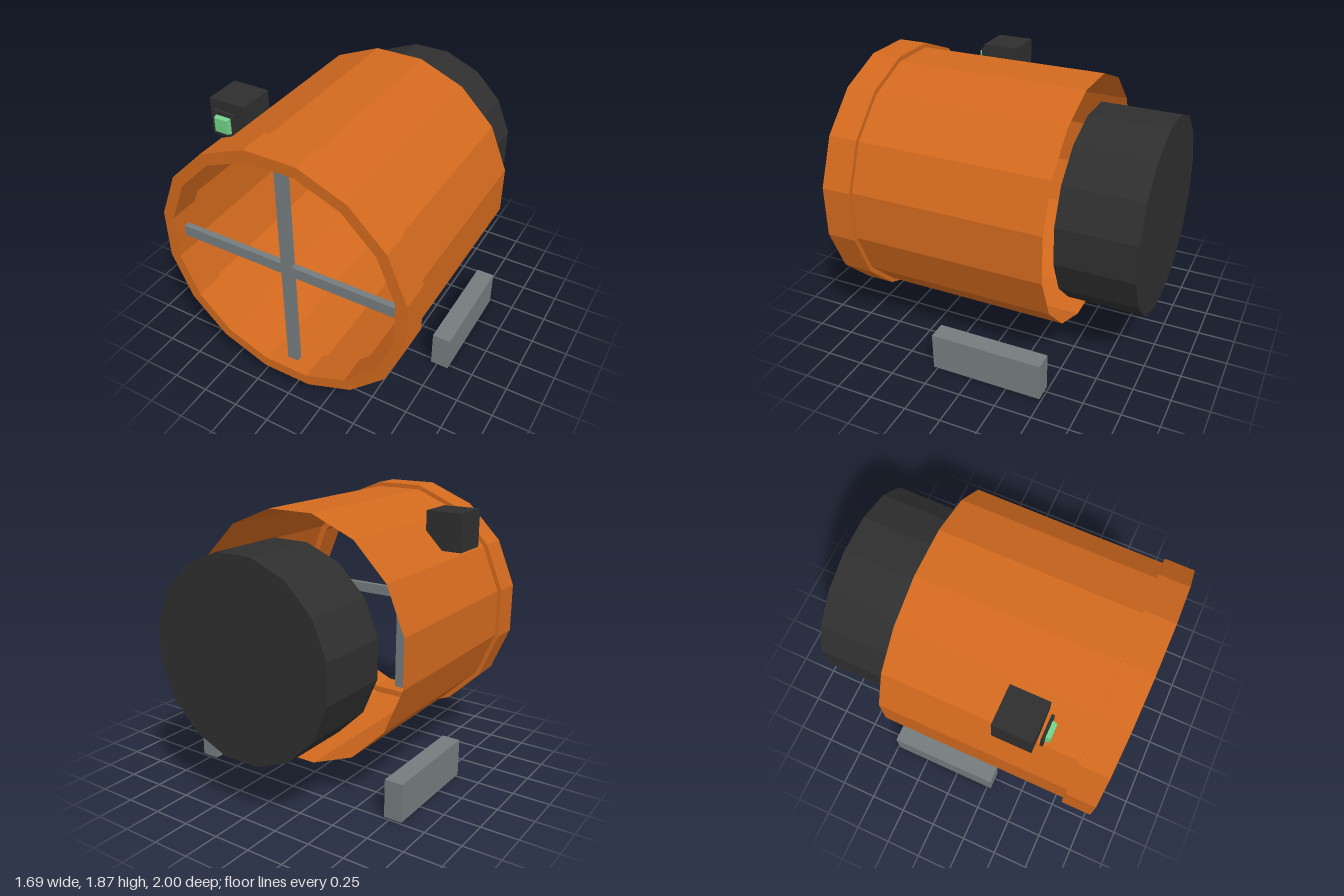
import * as THREE from 'three';

const mat = (name, color, opts = {}) => {
  const m = new THREE.MeshStandardMaterial({ color, flatShading: true, ...opts });
  m.name = name;
  return m;
};

export function createModel() {
  const model = new THREE.Group();
  model.name = 'model';
  const orange = mat('orange', 0xd2691e, { side: THREE.DoubleSide });
  const grey = mat('grey', 0x757c7e);
  const black = mat('black', 0x2f2f2f);
  const green = mat('green', 0x72cf88);

  const CY = 1.03;          // height of the barrel axis
  const SIDES = 16;
  const HALF = Math.PI / SIDES;

  const add = (name, geo, material, x, y, z) => {
    const mesh = new THREE.Mesh(geo, material);
    mesh.name = name;
    mesh.position.set(x, y, z);
    model.add(mesh);
    return mesh;
  };
  // box given by its minimum and maximum corners
  const box = (name, material, [x0, y0, z0], [x1, y1, z1]) =>
    add(name, new THREE.BoxGeometry(x1 - x0, y1 - y0, z1 - z0), material,
      (x0 + x1) / 2, (y0 + y1) / 2, (z0 + z1) / 2);
  // faceted drum along z with a flat facet on top
  const drum = (name, material, r, z0, z1, open) => {
    const geo = new THREE.CylinderGeometry(r, r, z1 - z0, SIDES, 1, open);
    geo.rotateY(HALF).rotateX(Math.PI / 2);
    return add(name, geo, material, 0, CY, (z0 + z1) / 2);
  };
  const polygon = r => Array.from({ length: SIDES }, (_, i) => {
    const a = HALF + i * 2 * HALF;
    return new THREE.Vector2(r * Math.cos(a), r * Math.sin(a));
  });

  // main open tube
  drum('tube', orange, 0.831, -0.485, 0.8, true);

  // thick front ring
  const ring = new THREE.Shape(polygon(0.861));
  ring.holes.push(new THREE.Path(polygon(0.785)));
  add('frontRing', new THREE.ExtrudeGeometry(ring, { depth: 0.2, bevelEnabled: false }),
    orange, 0, CY, 0.8);

  // rear housing
  drum('rearHousing', black, 0.652, -1, -0.485, false);
  box('rearScrew', black, [-0.16, 0.39, -0.93], [-0.12, 0.41, -0.87]);
  box('mirrorClip', grey, [0.06, 0.975, -0.485], [0.13, 0.995, -0.47]);

  // cross-shaped support inside the ring
  box('verticalVane', grey, [-0.0375, 0.26, 0.88], [0.0375, 1.8, 0.92]);
  box('horizontalVane', grey, [-0.77, CY - 0.0375, 0.88], [0.77, CY + 0.0375, 0.92]);

  // mounting rails
  for (const s of [-1, 1]) {
    const rail = box('rail', grey, [-0.0625, 0, -0.485], [0.0625, 0.26, 0.28]);
    rail.position.x = s * 0.768;
    rail.name = s > 0 ? 'leftRail' : 'rightRail';
  }

  // small sighting unit with a green window
  box('sightBody', black, [-0.773, 1.545, 0.28], [-0.517, 1.797, 0.532]);
  box('sightFrame', black, [-0.722, 1.592, 0.558], [-0.566, 1.75, 0.577]);
  const lens = new THREE.CylinderGeometry(0.066, 0.076, 0.03, 4);
  lens.rotateY(Math.PI / 4).rotateX(Math.PI / 2);
  add('sightWindow', lens, green, -0.644, 1.67, 0.592);

  return model;
}
